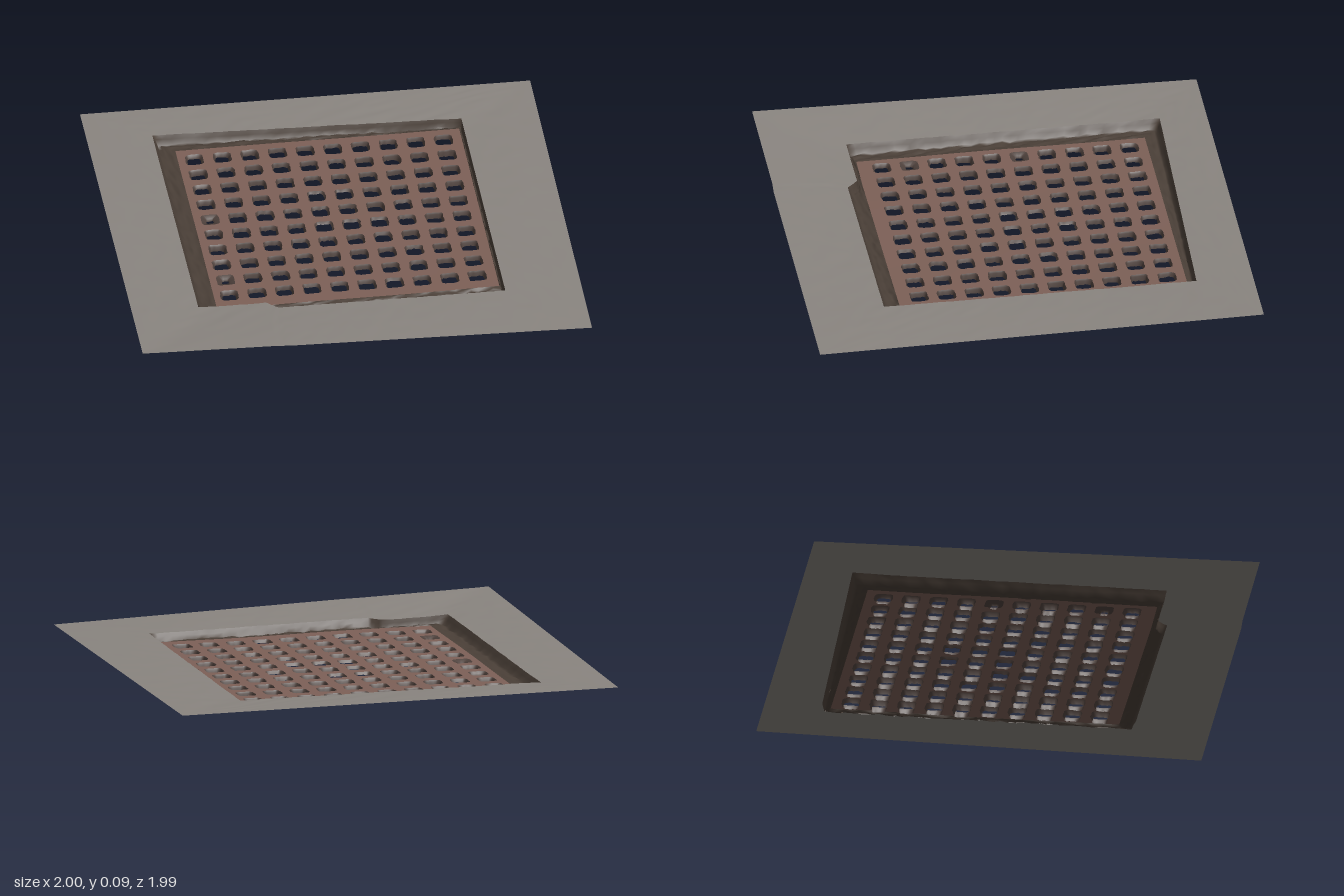
import * as THREE from 'three';
import { mergeGeometries, mergeVertices } from 'three/addons/utils/BufferGeometryUtils.js';

// Repeatable roughness in the range -1..1
const hash = (x, z) => {
  const s = Math.sin(x * 127.1 + z * 311.7) * 43758.5453;
  return 2 * (s - Math.floor(s)) - 1;
};
const lerp = THREE.MathUtils.lerp;
const smooth = THREE.MathUtils.smoothstep;

// Surface joining closed loops of [x, y, z] points, from the outermost inwards
function loft(loops) {
  const n = loops[0].length, index = [];
  for (let r = 0; r < loops.length - 1; r++) {
    for (let i = 0; i < n; i++) {
      const a = r * n + i, b = r * n + (i + 1) % n;
      index.push(a, a + n, b, b, a + n, b + n);
    }
  }
  const g = new THREE.BufferGeometry();
  g.setAttribute('position', new THREE.Float32BufferAttribute(loops.flat(2), 3));
  g.setIndex(index);
  return g;
}

function mesh(name, geometry, color) {
  const g = mergeVertices(geometry, 1e-4);
  g.computeVertexNormals();
  const m = new THREE.Mesh(g, new THREE.MeshStandardMaterial({ color, side: THREE.DoubleSide }));
  m.name = name;
  return m;
}

// Matching outlines in x, z; the front of the opening has a small step
const SLAB = [[-0.99, -1], [1, -0.98], [0.987, 0.987], [-0.34, 0.98], [-0.41, 0.975], [-1, 0.97]];
const OPENING = [[-0.7, -0.79], [0.66, -0.735], [0.652, 0.65], [-0.35, 0.65], [-0.4, 0.6], [-0.7, 0.6]];
const PLATE = [[-0.61, -0.71], [0.645, -0.7], [0.637, 0.575], [-0.33, 0.575], [-0.4, 0.575], [-0.612, 0.57]];
const STEPS = [40, 40, 30, 4, 10, 40];

const outline = (corners) => corners.flatMap((c, k) => {
  const d = corners[(k + 1) % corners.length];
  return Array.from({ length: STEPS[k] }, (_, i) =>
    [lerp(c[0], d[0], i / STEPS[k]), lerp(c[1], d[1], i / STEPS[k])]);
});

// Gently warped concrete level and nearly flat plate level
function slabY(x, z) {
  const u = (x + 1) / 2, v = (z + 1) / 2;
  const corners = lerp(lerp(0.083, 0.086, u), lerp(0.105, 0.062, u), v);
  return lerp(0.072, corners, smooth(Math.max(Math.abs(x), Math.abs(z)), 0.45, 1.05));
}
const plateY = (x, z) => 0.045 + 0.004 * x + 0.0015 * Math.sin(x * 7) * Math.cos(z * 6);

// Band between two outlines; rule(t, x, z, i) gives the height
function band(outer, inner, steps, rule) {
  const a = outline(outer), b = outline(inner), loops = [];
  for (let s = 0; s <= steps; s++) {
    const t = s / steps;
    loops.push(a.map((p, i) => {
      const x = lerp(p[0], b[i][0], t), z = lerp(p[1], b[i][1], t);
      return [x, rule(t, x, z), z];
    }));
  }
  return loft(loops);
}

// Hole grid: corner centres follow the slight skew of the plate
const N = 10;
function gridPoint(c, r) {
  const u = c / (N - 1), v = r / (N - 1);
  return [
    lerp(lerp(-0.537, 0.564, u), lerp(-0.543, 0.553, u), v),
    lerp(lerp(-0.63, -0.62, u), lerp(0.468, 0.479, u), v),
  ];
}

// Square outline in cell units, four points per half side, same direction as the bands
const SQUARE = [[-1, -1], [1, -1], [1, 1], [-1, 1]].flatMap((c, k, all) => {
  const d = all[(k + 1) % 4];
  return Array.from({ length: 6 }, (_, i) => [lerp(c[0], d[0], i / 6), lerp(c[1], d[1], i / 6)]);
});

// Rounded, slightly worn hole outline
const holePoint = (p, half) => {
  const k = half / Math.pow(Math.abs(p[0]) ** 5 + Math.abs(p[1]) ** 5, 0.2);
  return [p[0] * k, p[1] * k];
};

export function createModel() {
  const group = new THREE.Group();
  group.name = 'sunkenDrainGrate';

  // Concrete surround
  const concrete = band(SLAB, OPENING, 10, (t, x, z) => slabY(x, z) + (t > 0 ? 0.0012 * hash(x, z) : 0));
  group.add(mesh('concreteSurround', concrete, 0x8a8580));

  // Steep broken edge and the rough dirt channel around the plate
  const channel = band(OPENING, PLATE, 8, (t, x, z) => {
    if (t === 0) return slabY(x, z) + 0.0012 * hash(x, z);
    if (t === 1) return plateY(x, z);
    const floor = lerp(0.036, 0.042, t) + 0.007 * hash(x, z);
    return lerp(slabY(x, z), floor, smooth(t, 0, 0.28));
  });
  group.add(mesh('dirtChannel', channel, 0x4b4038));

  // Plate rim, from the outer edge to the hole grid
  const gridCorner = (u, v) => gridPoint(-0.5 + u * N, -0.5 + v * N);
  const GRID = [gridCorner(0, 0), gridCorner(1, 0), gridCorner(1, 1),
    gridCorner(0.23, 1), gridCorner(0.17, 1), gridCorner(0, 1)];
  const plateParts = [band(PLATE, GRID, 2, (t, x, z) => plateY(x, z))];

  // One cell per hole, with a tapering wall below
  const wallParts = [];
  for (let r = 0; r < N; r++) {
    for (let c = 0; c < N; c++) {
      const [cx, cz] = gridPoint(c, r);
      const clogged = c === 0 && (r === 4 || r === 8);
      const half = clogged ? 0.016 : (c === 0 || (r === 0 && c < 3) ? 0.03 : 0.033);
      const depth = 0.017 + 0.012 * Math.abs(cx) + 0.006 * hash(c, r);
      const cell = [], lip = [], wall = [], foot = [];
      SQUARE.forEach((p, i) => {
        const [gx, gz] = gridPoint(c + p[0] / 2, r + p[1] / 2);
        cell.push([gx, plateY(gx, gz), gz]);
        const ring = (size, drop) => {
          const [hx, hz] = holePoint(p, size + 0.002 * hash(c * 31 + i, r));
          return [cx + hx, plateY(cx + hx, cz + hz) - drop, cz + hz];
        };
        lip.push(ring(0.04, 0));
        wall.push(ring(half + 0.003, 0.008));
        foot.push(ring(half, depth + 0.002 * hash(i, c + r * 17)));
      });
      plateParts.push(loft([cell, lip]));
      wallParts.push(loft([lip, wall, foot]));
    }
  }
  group.add(mesh('ironPlate', mergeGeometries(plateParts), 0x7d6057));
  group.add(mesh('holeWalls', mergeGeometries(wallParts), 0x4f423d));

  return group;
}
